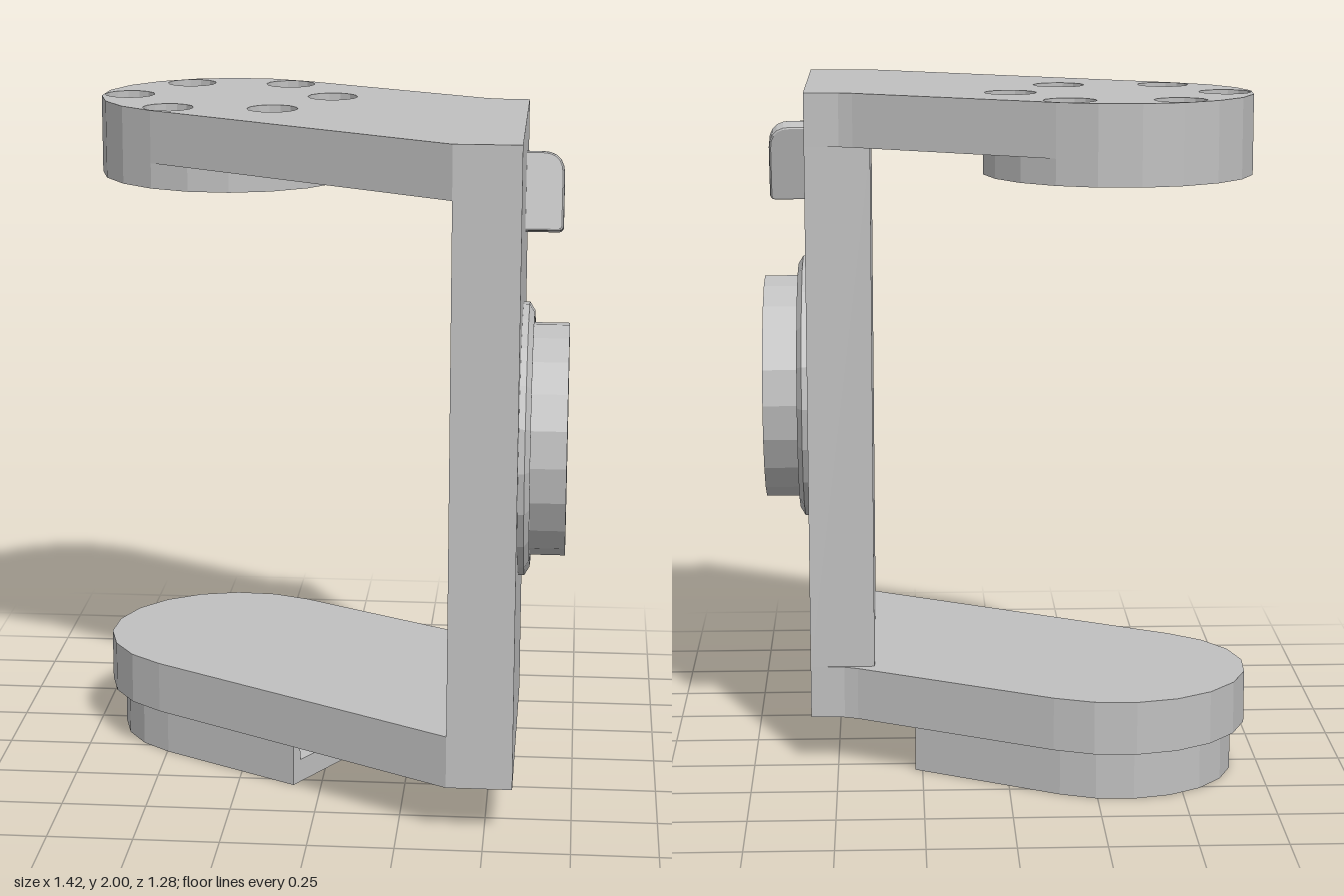
import * as THREE from 'three';

const CX = -0.32, CZ = -0.25; // centre of the rounded arm end
const ARM = 0.53;             // arm direction in plan, from +x towards +z

// Points along an arc, as plan coordinates (x, z)
function arc(r, from, to, n) {
  const pts = [];
  for (let i = 0; i <= n; i++) {
    const a = from + (to - from) * i / n;
    pts.push(new THREE.Vector2(CX + r * Math.cos(a), CZ + r * Math.sin(a)));
  }
  return pts;
}

// Half-round end, from the front tangent point to the back one
const roundEnd = (r) => arc(r, ARM + Math.PI / 2, ARM + Math.PI * 1.5, 10);

// Point at distance t along the arm and s across it
const armPoint = (t, s) => new THREE.Vector2(
  CX + t * Math.cos(ARM) - s * Math.sin(ARM),
  CZ + t * Math.sin(ARM) + s * Math.cos(ARM));

// Plan shape extruded downward from top to bottom
function slab(points, top, bottom, holes = [], radius = 0) {
  const shape = new THREE.Shape(points);
  for (const [x, z] of holes) {
    shape.holes.push(new THREE.Path().absarc(x, z, radius, 0, Math.PI * 2, true));
  }
  const geo = new THREE.ExtrudeGeometry(shape, { depth: top - bottom, bevelEnabled: false, curveSegments: 7 });
  return geo.rotateX(Math.PI / 2).translate(0, top, 0);
}

export function createModel() {
  const model = new THREE.Group();
  model.name = 'bracket';
  const grey = new THREE.MeshStandardMaterial({ color: 0xc0c0c0, flatShading: true });
  grey.name = 'plain grey';
  const add = (name, geo) => {
    const mesh = new THREE.Mesh(geo, grey);
    mesh.name = name;
    model.add(mesh);
    return mesh;
  };

  // Teardrop outline shared by both arms
  const outline = [
    new THREE.Vector2(0.58, 0.64), new THREE.Vector2(0.39, 0.64),
    ...roundEnd(0.39),
    new THREE.Vector2(0.44, -0.262), new THREE.Vector2(0.48, -0.246), new THREE.Vector2(0.58, -0.24),
  ];

  // Upper arm with a ring of six blind holes
  const ring = [];
  for (let i = 0; i < 6; i++) {
    const a = i * Math.PI / 3;
    ring.push([CX + 0.308 * Math.cos(a), CZ + 0.308 * Math.sin(a)]);
  }
  add('upperArmTop', slab(outline, 2, 1.9, ring, 0.075));
  add('upperArmBase', slab(outline, 1.9, 1.845));
  add('upperRoundPad', slab(arc(0.39, ARM + Math.PI / 2, ARM + Math.PI * 2.5, 20).slice(0, -1), 1.845, 1.77));

  // Lower arm with three holes underneath the wall
  add('lowerArm', slab(outline, 0.3, 0.145, [[0.49, -0.08], [0.49, 0.22], [0.49, 0.52]], 0.065));

  // Upright wall
  const wall = new THREE.BoxGeometry(0.19, 1.545, 0.88);
  add('wall', wall.translate(0.485, 1.0725, 0.2));

  // Foot: solid floor and a U-shaped rim that leaves a slot open at the cut end
  const end = 0.48;
  add('footFloor', slab([armPoint(end, 0.35), ...roundEnd(0.35), armPoint(end, -0.35)], 0.07, 0));
  add('footRim', slab([
    armPoint(end, 0.35), ...roundEnd(0.35), armPoint(end, -0.35),
    armPoint(end, -0.315), ...roundEnd(0.315).reverse(), armPoint(end, 0.315),
  ], 0.145, 0.07));

  // Round knob and its bevelled collar on the outer wall face
  const lathe = (profile) => new THREE.LatheGeometry(
    profile.map(([r, y]) => new THREE.Vector2(r, y)), 20)
    .rotateZ(-Math.PI / 2).translate(0.58, 1.07, 0.2);
  add('knobCollar', lathe([[0.4, 0], [0.4, 0.018], [0.375, 0.033], [0.36, 0.033], [0.345, 0.015], [0.33, 0.015]]));
  add('knob', lathe([[0.34, 0], [0.34, 0.135], [0, 0.135]]));

  // Slanted tab with a rounded outer top corner
  const tab = new THREE.Shape();
  tab.moveTo(-0.01, -0.11);
  tab.lineTo(0.095, -0.11);
  tab.quadraticCurveTo(0.105, -0.11, 0.105, -0.1);
  tab.lineTo(0.105, 0.05);
  tab.quadraticCurveTo(0.105, 0.11, 0.045, 0.11);
  tab.lineTo(-0.01, 0.11);
  const tabGeo = new THREE.ExtrudeGeometry(tab, {
    depth: 0.04, bevelThickness: 0.01, bevelSize: 0.006, bevelSegments: 2, curveSegments: 5,
  }).translate(0, 0, -0.02);
  const tabMesh = add('slantedTab', tabGeo);
  tabMesh.position.set(0.58, 1.775, 0.067);
  tabMesh.rotation.x = -0.27;

  return model;
}
